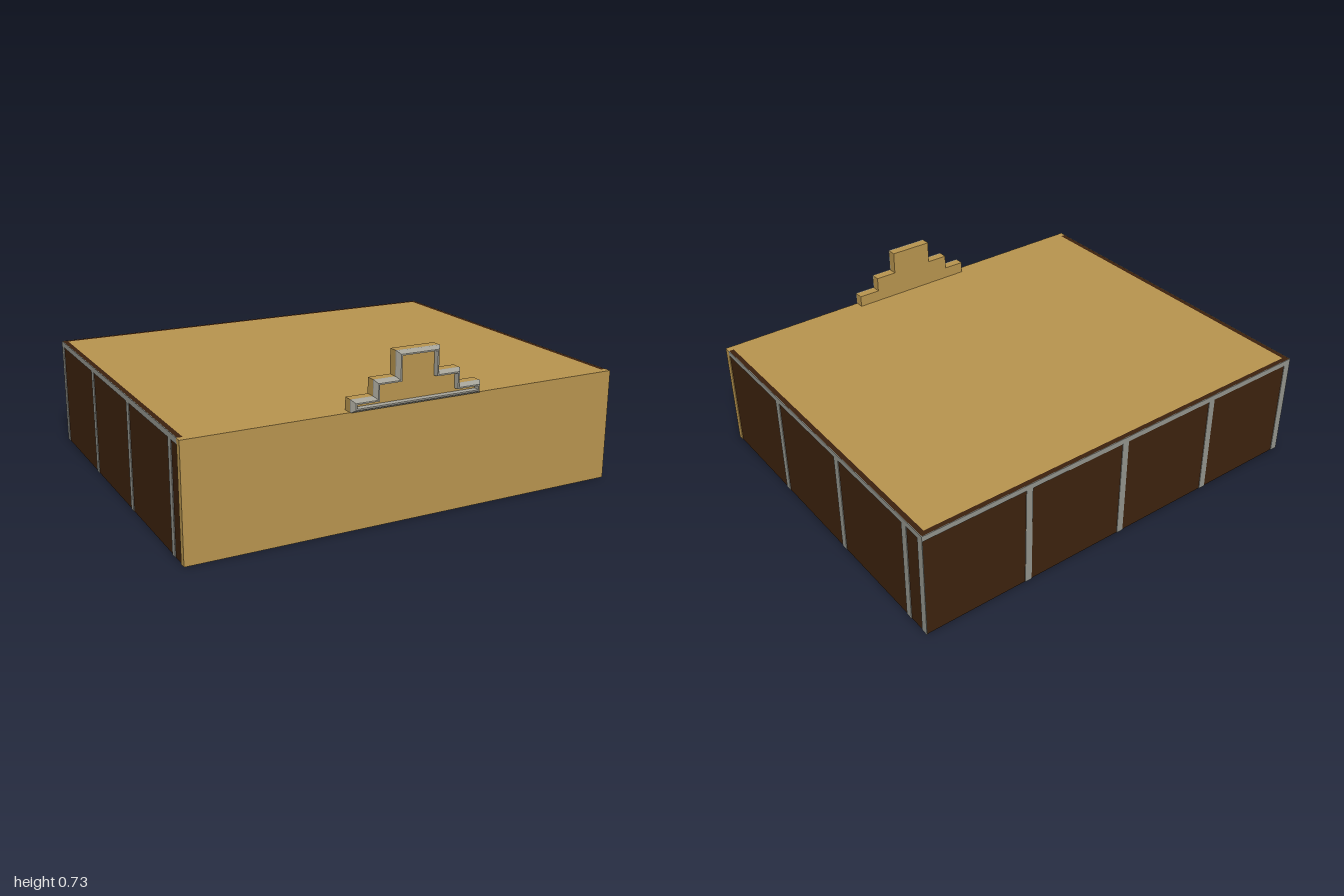
import * as THREE from 'three';

export function createModel() {
  const model = new THREE.Group();
  const mat = (name, color) => {
    const m = new THREE.MeshStandardMaterial({ color });
    m.name = name;
    return m;
  };
  const tan = mat('tan plaster', 0xb5924d);
  const brown = mat('dark brown panel', 0x3b210d);
  const grey = mat('grey trim', 0x90918a);
  const paleGrey = mat('pale grey moulding', 0xa3a196);

  // Box given by its min and max corners
  const box = (name, material, x0, x1, y0, y1, z0, z1) => {
    const mesh = new THREE.Mesh(new THREE.BoxGeometry(x1 - x0, y1 - y0, z1 - z0), material);
    mesh.name = name;
    mesh.position.set((x0 + x1) / 2, (y0 + y1) / 2, (z0 + z1) / 2);
    model.add(mesh);
  };

  const H = 0.5, T = 0.003; // wall height, trim plate thickness
  const back = -0.825 + T, side = 1 - T;

  // Shell, open underneath
  box('frontWall', tan, -1, 1, 0, H, 0.77, 0.8);
  box('roof', tan, -0.975, 0.975, 0.47, H, -0.8, 0.77);
  box('backWall', brown, -side, side, 0, H, back, -0.8);
  for (const s of [-1, 1]) {
    const [a, b] = s > 0 ? [0.975, side] : [-side, -0.975];
    box('sideWall', brown, a, b, 0, H, -0.8, 0.77);
  }

  // Thin grey trim on the side walls
  const sideStrips = { '1': [0.3, -0.2, -0.7], '-1': [-0.31, 0.19, 0.69] };
  for (const s of [-1, 1]) {
    const [a, b] = s > 0 ? [side, 1] : [-1, -side];
    box('sideTopTrim', grey, a, b, 0.475, H, -0.825, 0.77);
    box('sideCornerTrim', grey, a, b, 0, 0.475, -0.825, -0.793);
    for (const z of sideStrips[s]) box('sideBatten', grey, a, b, 0, 0.475, z - 0.016, z + 0.016);
  }

  // Thin grey trim on the back wall
  box('backTopTrim', grey, -side, side, 0.475, H, -0.825, back);
  for (const x of [0.5, 0, -0.5, -0.981])
    box('backBatten', grey, x - 0.016, x + 0.016, 0, 0.475, -0.825, back);

  // Stepped gable: outline shrunk inward by d, counter-clockwise
  const outline = (d) => {
    const right = [[0.3 - d, 0.5 + d], [0.3 - d, 0.553 - d], [0.2 - d, 0.553 - d],
      [0.2 - d, 0.62 - d], [0.1 - d, 0.62 - d], [0.1 - d, 0.725 - d]];
    return [...right, ...right.map(([x, y]) => [-x, y]).reverse()];
  };
  const shape = new THREE.Shape(outline(0).map(([x, y]) => new THREE.Vector2(x, y)));
  const gable = new THREE.Mesh(
    new THREE.ExtrudeGeometry(shape, { depth: 0.04, bevelEnabled: false }), tan);
  gable.name = 'steppedGable';
  gable.position.z = 0.76;
  model.add(gable);

  // Bevelled moulding around the gable: [inset, z] cross-section swept round the outline
  const section = [[0, 0.8], [0, 0.807], [0.012, 0.825], [0.018, 0.825], [0.02, 0.801]];
  const rings = section.map(([d, z]) => outline(d).map(([x, y]) => [x, y, z]));
  const pos = [];
  for (let r = 0; r < rings.length - 1; r++) {
    const n = rings[r].length;
    for (let i = 0; i < n; i++) {
      const j = (i + 1) % n;
      const a = rings[r][i], b = rings[r][j], c = rings[r + 1][j], d = rings[r + 1][i];
      pos.push(...a, ...b, ...c, ...a, ...c, ...d);
    }
  }
  const geo = new THREE.BufferGeometry();
  geo.setAttribute('position', new THREE.Float32BufferAttribute(pos, 3));
  geo.computeVertexNormals();
  const moulding = new THREE.Mesh(geo, paleGrey);
  moulding.name = 'gableMoulding';
  model.add(moulding);

  return model;
}
